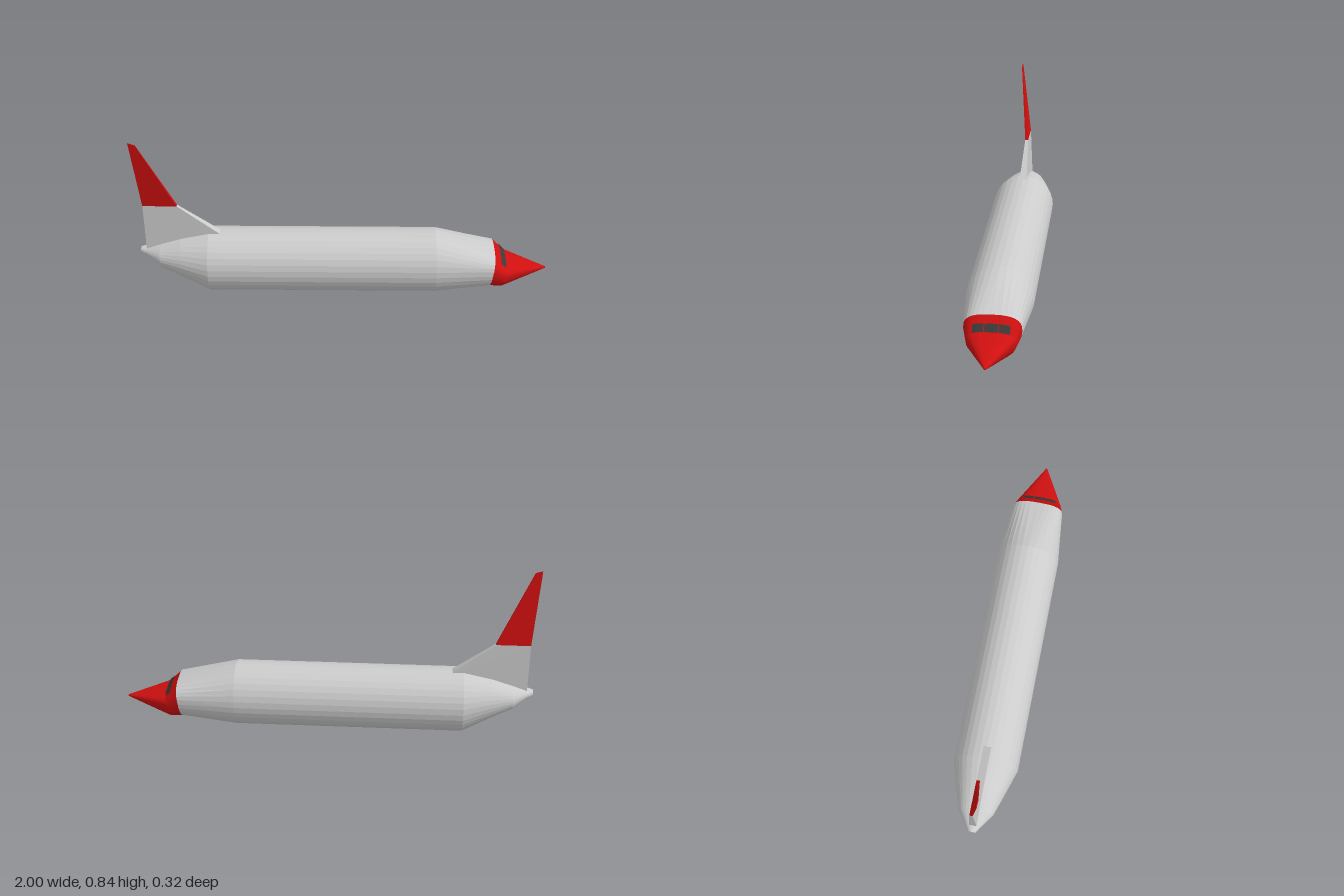
import * as THREE from 'three';

const SIDES = 32;
const grey = 0xcccccc, red = 0xd01010, dark = 0x3a3a3a;

// Skins a series of closed rings and caps both ends, with flat facets.
function loft(name, rings, color, capStart = true, capEnd = true) {
  const pos = [];
  const tri = (a, b, c) => pos.push(...a, ...b, ...c);
  const n = rings[0].length;
  for (let i = 0; i < rings.length - 1; i++) {
    const a = rings[i], b = rings[i + 1];
    for (let j = 0; j < n; j++) {
      const k = (j + 1) % n;
      tri(a[j], b[j], a[k]);
      tri(b[j], b[k], a[k]);
    }
  }
  const first = rings[0], last = rings[rings.length - 1];
  for (let j = 1; j < n - 1; j++) {
    if (capStart) tri(first[0], first[j], first[j + 1]);
    if (capEnd) tri(last[0], last[j + 1], last[j]);
  }
  return makeMesh(name, pos, color);
}

function makeMesh(name, pos, color, side = THREE.FrontSide) {
  const geo = new THREE.BufferGeometry();
  geo.setAttribute('position', new THREE.Float32BufferAttribute(pos, 3));
  geo.computeVertexNormals();
  const mesh = new THREE.Mesh(geo, new THREE.MeshStandardMaterial({ color, flatShading: true, side }));
  mesh.name = name;
  return mesh;
}

// Hull station: widest at height cy, with its own top and bottom heights,
// squareness n of the upper half and a forward lean of the top.
const station = (x, cy, top, bottom, w, n = 2, lean = 0) => ({ x, cy, top, bottom, w, n, lean });

function ring(s) {
  const pts = [];
  for (let j = 0; j < SIDES; j++) {
    const a = (j / SIDES) * Math.PI * 2;
    const c = Math.cos(a), v = Math.sin(a);
    const p = v > 0 ? 2 / s.n : 1;
    const u = Math.sign(v) * Math.abs(v) ** p;
    const z = s.w * Math.sign(c) * Math.abs(c) ** p;
    pts.push([s.x + s.lean * u, s.cy + u * (v > 0 ? s.top - s.cy : s.cy - s.bottom), z]);
  }
  return pts;
}

// Point on the upper half of a station at sideways position z
function upperPoint(s, z) {
  const u = (1 - Math.abs(z / s.w) ** s.n) ** (1 / s.n);
  return new THREE.Vector3(s.x + s.lean * u, s.cy + u * (s.top - s.cy), z);
}

// Fin section: trailing and leading corners, sideways offset, half thickness
function finRing([xt, yt, xl, yl, z, h]) {
  return [[xl, yl, z + h], [xt, yt, z + h], [xt, yt, z - h], [xl, yl, z - h]];
}

export function createModel() {
  const model = new THREE.Group();
  const cowl = station(0.728, 0.15, 0.23, 0.034, 0.13, 2.8, 0.012);
  const brow = station(0.788, 0.12, 0.17, 0.029, 0.112, 2.8, 0.01);

  // Fuselage from tail to cockpit
  model.add(loft('fuselage', [
    station(-1, 0.206, 0.222, 0.19, 0.017),
    station(-0.97, 0.204, 0.228, 0.178, 0.036),
    station(-0.9, 0.19, 0.252, 0.128, 0.084),
    station(-0.8, 0.18, 0.285, 0.076, 0.116),
    station(-0.66, 0.159, 0.317, 0, 0.158),
    station(0.45, 0.159, 0.317, 0, 0.158),
    cowl,
  ].map(ring), grey, true, false));

  // Cockpit and pointed nose
  model.add(loft('nose', [cowl, brow, station(1, 0.113, 0.117, 0.109, 0.004)].map(ring), red, false, true));

  // Windscreen panes laid just above the cockpit slope
  const windscreen = new THREE.Group();
  windscreen.name = 'windscreen';
  const lift = new THREE.Vector3(0.003, 0.003, 0);
  for (const [name, z0, z1] of [['leftPane', -0.083, -0.034], ['centrePane', -0.03, 0.03], ['rightPane', 0.034, 0.083]]) {
    const pos = [];
    const at = (z, t) => upperPoint(cowl, z).lerp(upperPoint(brow, z), t).add(lift).toArray();
    const steps = 5;
    for (let i = 0; i < steps; i++) {
      const a = z0 + ((z1 - z0) * i) / steps, b = z0 + ((z1 - z0) * (i + 1)) / steps;
      const [p, q, r, s] = [at(a, 0.5), at(b, 0.5), at(b, 0.96), at(a, 0.96)];
      pos.push(...p, ...q, ...r, ...p, ...r, ...s);
    }
    windscreen.add(makeMesh(name, pos, dark, THREE.DoubleSide));
  }
  model.add(windscreen);

  // Tail fin: grey root and red tip leaning to one side
  const root = finRing([-0.97, 0.21, -0.6, 0.312, 0, 0.019]);
  const middle = finRing([-0.97, 0.47, -0.805, 0.47, 0, 0.008]);
  const top = finRing([-0.998, 0.842, -0.965, 0.832, 0.041, 0.002]);
  model.add(loft('finRoot', [root, middle], grey, true, false));
  model.add(loft('finTip', [middle, top], red, false, true));
  return model;
}
